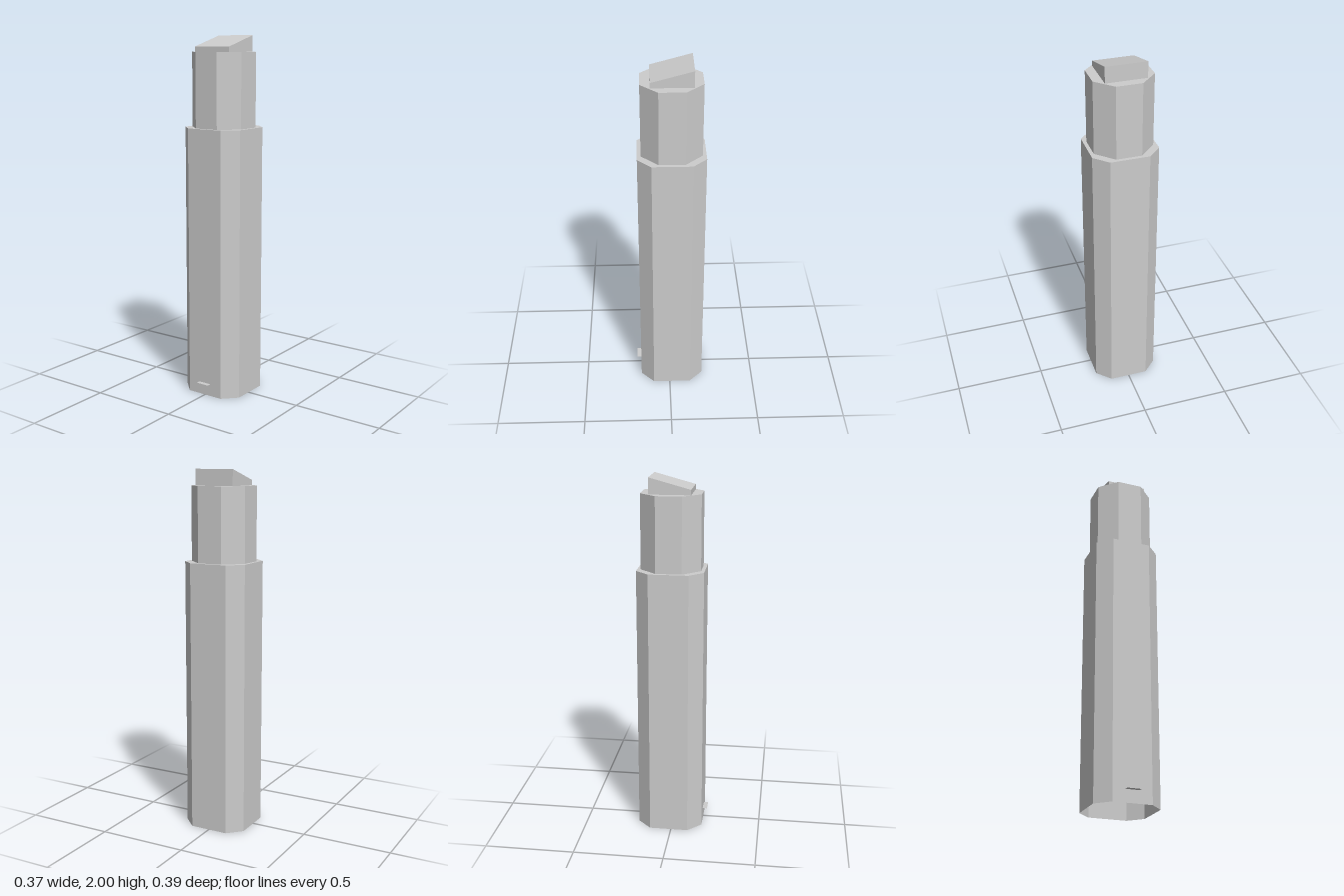
import * as THREE from 'three';

// Open-bottomed prism: walls around a ring of [x, z] corners, plus a cap whose height may vary with z
function prism(ring, y0, topAt) {
  const low = ring.map(([x, z]) => [x, y0, z]);
  const high = ring.map(([x, z]) => [x, topAt(z), z]);
  const pos = [];
  const tri = (...corners) => corners.forEach((p) => pos.push(...p));
  ring.forEach((_, i) => {
    const j = (i + 1) % ring.length;
    tri(low[i], low[j], high[j]);
    tri(low[i], high[j], high[i]);
    if (i > 0 && j > 0) tri(high[0], high[i], high[j]);
  });
  const geo = new THREE.BufferGeometry();
  geo.setAttribute('position', new THREE.Float32BufferAttribute(pos, 3));
  geo.computeVertexNormals();
  return geo;
}

// Square of half-width r with corners cut back to c, centred on the tower axis
function octagon(r, c, zc) {
  return [[-c, r], [c, r], [r, c], [r, -c], [c, -r], [-c, -r], [-r, -c], [-r, c]]
    .map(([x, z]) => [x, z + zc]);
}

export function createModel() {
  const group = new THREE.Group();
  const concrete = new THREE.MeshStandardMaterial({ color: 0xcccccc, side: THREE.DoubleSide });
  concrete.name = 'light grey';
  const axisZ = -0.013;
  const add = (name, geo) => {
    const mesh = new THREE.Mesh(geo, concrete);
    mesh.name = name;
    group.add(mesh);
    return mesh;
  };

  // Main shaft and narrower upper stage
  add('mainTower', prism(octagon(0.183, 0.108, axisZ), 0, () => 1.505));
  add('upperTower', prism(octagon(0.163, 0.07, axisZ), 1.505, () => 1.912));

  // Square penthouse with a roof sloping down to the front
  const h = 0.112;
  const square = [[-h, h], [h, h], [h, -h], [-h, -h]].map(([x, z]) => [x, z + axisZ]);
  add('slopedRoof', prism(square, 1.912, (z) => (z > axisZ ? 1.94 : 2)));

  // Thin canopy over the entrance
  const canopy = add('entranceCanopy', new THREE.PlaneGeometry(0.077, 0.025));
  canopy.rotation.x = -Math.PI / 2;
  canopy.position.set(0, 0.07, 0.1825);

  return group;
}
